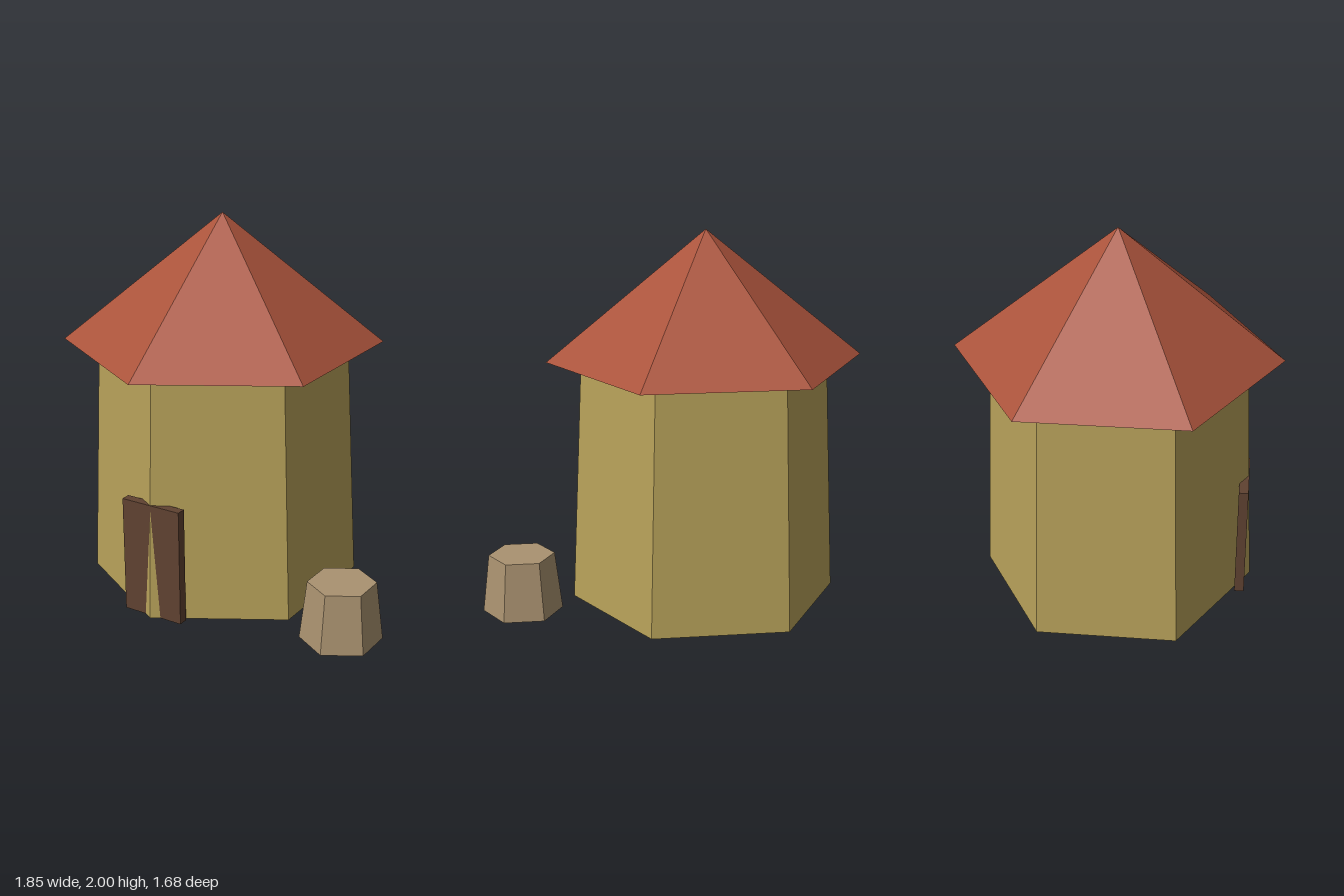
import * as THREE from 'three';

const material = (name, color) => {
  const m = new THREE.MeshStandardMaterial({ color, flatShading: true });
  m.name = name;
  return m;
};

export function createModel() {
  const group = new THREE.Group();
  group.name = 'hut';
  const wallMat = material('straw walls', 0xb8a25a);
  const roofMat = material('red roof', 0xaa533b);
  const doorMat = material('dark wood', 0x5f4231);
  const barrelMat = material('pale wood', 0xaa9270);

  const add = (name, geometry, mat, x, y, z) => {
    const mesh = new THREE.Mesh(geometry, mat);
    mesh.name = name;
    mesh.position.set(x, y, z);
    group.add(mesh);
  };

  const hutX = -0.197;
  const wallHeight = 1.316;
  const roofHeight = 2 - wallHeight;

  // Six-sided tapered walls, one corner to the front
  add('walls', new THREE.CylinderGeometry(0.657, 0.717, wallHeight, 6), wallMat, hutX, wallHeight / 2, 0);
  // Overhanging pyramid roof
  add('roof', new THREE.ConeGeometry(0.84, roofHeight, 6), roofMat, hutX, wallHeight + roofHeight / 2, 0);
  // Door slab, split by the front corner of the walls
  add('door', new THREE.BoxGeometry(0.345, 0.625, 0.05), doorMat, hutX, 0.3125, 0.665);
  // Tapered barrel beside the hut
  add('barrel', new THREE.CylinderGeometry(0.174, 0.211, 0.312, 6), barrelMat, 0.739, 0.156, 0.374);

  return group;
}
